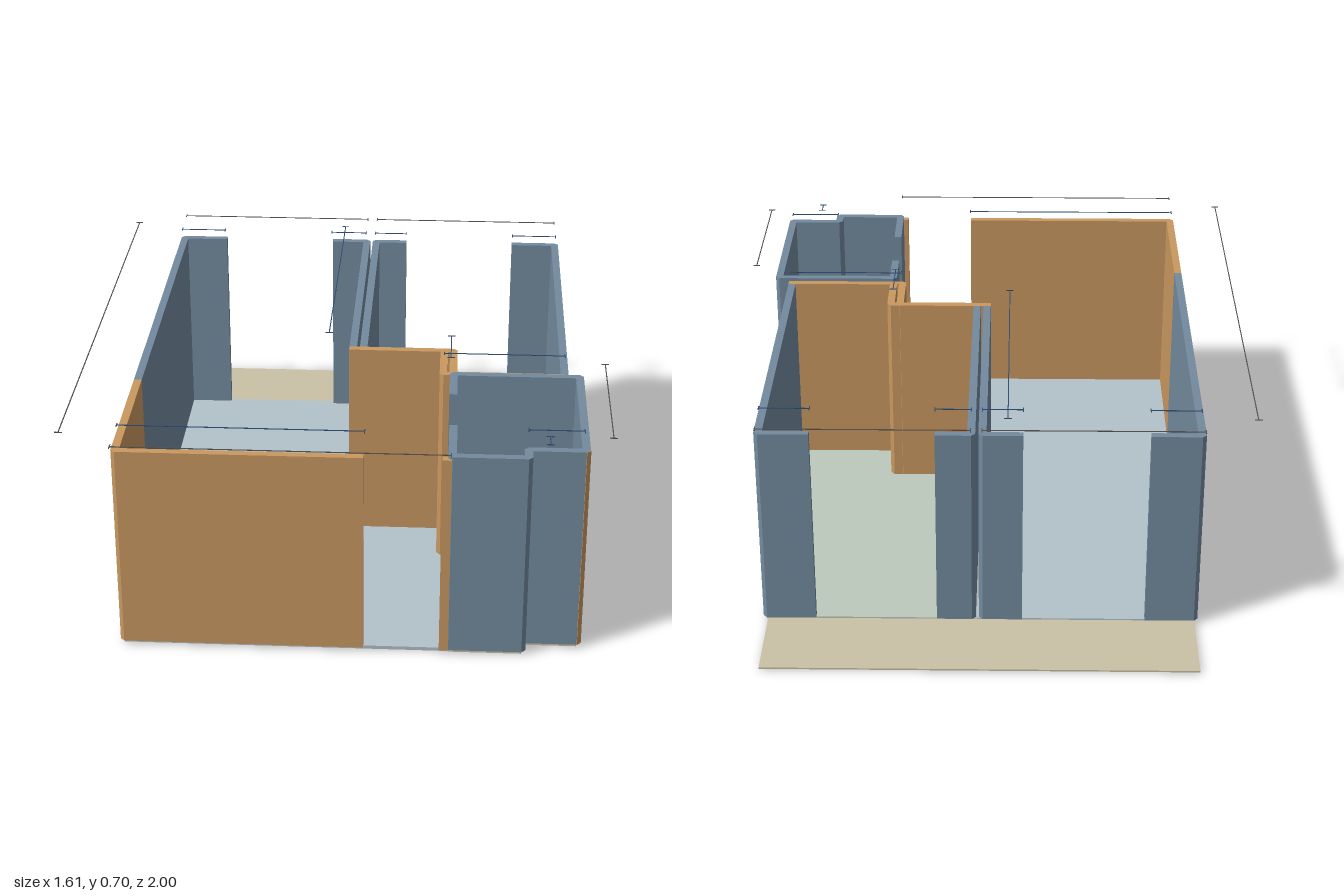
import * as THREE from 'three';

const mat = (name, color) => {
  const m = new THREE.MeshStandardMaterial({ color });
  m.name = name;
  return m;
};

export function createModel() {
  const model = new THREE.Group();
  model.name = 'floorPlan';
  const slate = mat('slateBlue', 0x738b9e);
  const orange = mat('orange', 0xc99860);
  const paleBlue = mat('paleBlue', 0xb3c2ca);
  const paleGreen = mat('paleGreen', 0xbec9bc);
  const sand = mat('sand', 0xc9c1a6);
  const navy = mat('navyLine', 0x2c4a72);
  const grey = mat('greyLine', 0x55504c);

  // Upright prism over an outline of [x, z] points
  const prism = (name, pts, y0, y1, material) => {
    const shape = new THREE.Shape(pts.map(([x, z]) => new THREE.Vector2(x, -z)));
    const geo = new THREE.ExtrudeGeometry(shape, { depth: y1 - y0, bevelEnabled: false });
    geo.rotateX(-Math.PI / 2).translate(0, y0, 0);
    const mesh = new THREE.Mesh(geo, material);
    mesh.name = name;
    model.add(mesh);
  };

  // Wall of even thickness along a right-angled centre line, outer corners chamfered
  const half = 0.012;
  const wall = (name, path, material, top = 0.65) => {
    const p = path.map(([x, z]) => new THREE.Vector2(x, z));
    const dir = p.slice(1).map((q, i) => q.clone().sub(p[i]).normalize());
    const side = (s) => p.flatMap((q, i) => {
      const a = dir[Math.max(i - 1, 0)], b = dir[Math.min(i, dir.length - 1)];
      const na = new THREE.Vector2(-a.y, a.x).multiplyScalar(s * half);
      const nb = new THREE.Vector2(-b.y, b.x).multiplyScalar(s * half);
      const turn = a.cross(b);
      if (Math.abs(turn) < 0.5) return [[q.x + na.x, q.y + na.y]];
      if (turn * s < 0) return [[q.x + na.x, q.y + na.y], [q.x + nb.x, q.y + nb.y]];
      return [[q.x + na.x + nb.x, q.y + na.y + nb.y]];
    });
    prism(name, [...side(1), ...side(-1).reverse()], 0.013, top, material);
  };

  // Floors
  prism('mainFloor', [[-0.635, -0.73], [0.028, -0.73], [0.028, 0.175], [0.315, 0.175],
    [0.315, 0.355], [0.33, 0.355], [0.33, 0.905], [-0.635, 0.905]], 0.002, 0.013, paleBlue);
  prism('sideRoomFloor', [[0.032, -0.73], [0.67, -0.73], [0.67, 0.345], [0.32, 0.345],
    [0.32, 0.175], [0.032, 0.175]], 0.002, 0.013, paleGreen);
  prism('smallRoomFloor', [[0.331, 0.365], [0.715, 0.365], [0.715, 0.855], [0.55, 0.855],
    [0.55, 0.905], [0.331, 0.905]], 0, 0.012, sand);
  prism('terrace', [[-0.637, -1], [0.668, -1], [0.668, -0.731], [-0.637, -0.731]], 0.004, 0.009, sand);

  // Main room walls
  wall('leftWall', [[-0.485, -0.725], [-0.635, -0.725], [-0.635, 0.44]], slate);
  wall('frontCornerWall', [[-0.635, 0.44], [-0.635, 0.905], [0.08, 0.905]], orange);
  wall('partitionMain', [[-0.11, -0.725], [0.01, -0.725], [0.01, 0.163]], slate);
  wall('steppedWallMain', [[-0.002, 0.175], [0.298, 0.175], [0.298, 0.345], [0.34, 0.345]], orange);
  prism('doorJamb', [[0.305, 0.893], [0.332, 0.893], [0.332, 0.919], [0.305, 0.919]], 0.013, 0.65, orange);

  // Side room walls
  wall('partitionSide', [[0.15, -0.725], [0.043, -0.725], [0.043, 0.163]], slate);
  wall('steppedWallSide', [[0.032, 0.176], [0.328, 0.176], [0.328, 0.343], [0.682, 0.343]], orange);
  wall('rightWall', [[0.52, -0.725], [0.67, -0.725], [0.67, 0.331]], slate);

  // Small room: one slightly taller wall around it, with an orange corner face
  wall('smallRoomWall', [[0.33, 0.51], [0.33, 0.367], [0.715, 0.367], [0.715, 0.855],
    [0.55, 0.855], [0.55, 0.905], [0.333, 0.905], [0.333, 0.715]], slate, 0.66);
  prism('cornerFace', [[0.727, 0.855], [0.728, 0.856], [0.716, 0.868], [0.715, 0.867]], 0.013, 0.66, orange);

  // Dimension lines floating above the walls, with end ticks
  const bar = (group, x0, z0, x1, z1, material) => {
    const t = 0.003;
    const geo = new THREE.BoxGeometry(x1 - x0 + t, 0.002, z1 - z0 + t);
    const mesh = new THREE.Mesh(geo, material);
    mesh.position.set((x0 + x1) / 2, 0.702, (z0 + z1) / 2);
    group.add(mesh);
  };
  const dimension = (x0, z0, x1, z1, material) => {
    const g = new THREE.Group();
    g.name = 'dimensionLine';
    const alongX = x1 > x0, tx = alongX ? 0 : 0.01, tz = alongX ? 0.01 : 0;
    bar(g, x0, z0, x1, z1, material);
    for (const [x, z] of [[x0, z0], [x1, z1]]) bar(g, x - tx, z - tz, x + tx, z + tz, material);
    model.add(g);
  };
  [[-0.637, -0.8, 0.01, -0.8], [0.043, -0.8, 0.668, -0.8], [-0.795, -0.725, -0.795, 0.905],
    [-0.635, 0.985, 0.33, 0.985], [0.79, 0.365, 0.79, 0.855]].forEach((d) => dimension(...d, grey));
  [[-0.635, -0.67, -0.485, -0.67], [-0.11, -0.67, 0.01, -0.67], [0.043, -0.67, 0.15, -0.67],
    [0.52, -0.67, 0.67, -0.67], [-0.065, -0.725, -0.065, 0.175], [-0.635, 0.85, 0.08, 0.85],
    [0.3, 0.31, 0.67, 0.31], [0.32, 0.18, 0.32, 0.34], [0.55, 0.815, 0.71, 0.815],
    [0.61, 0.855, 0.61, 0.905]].forEach((d) => dimension(...d, navy));

  return model;
}
